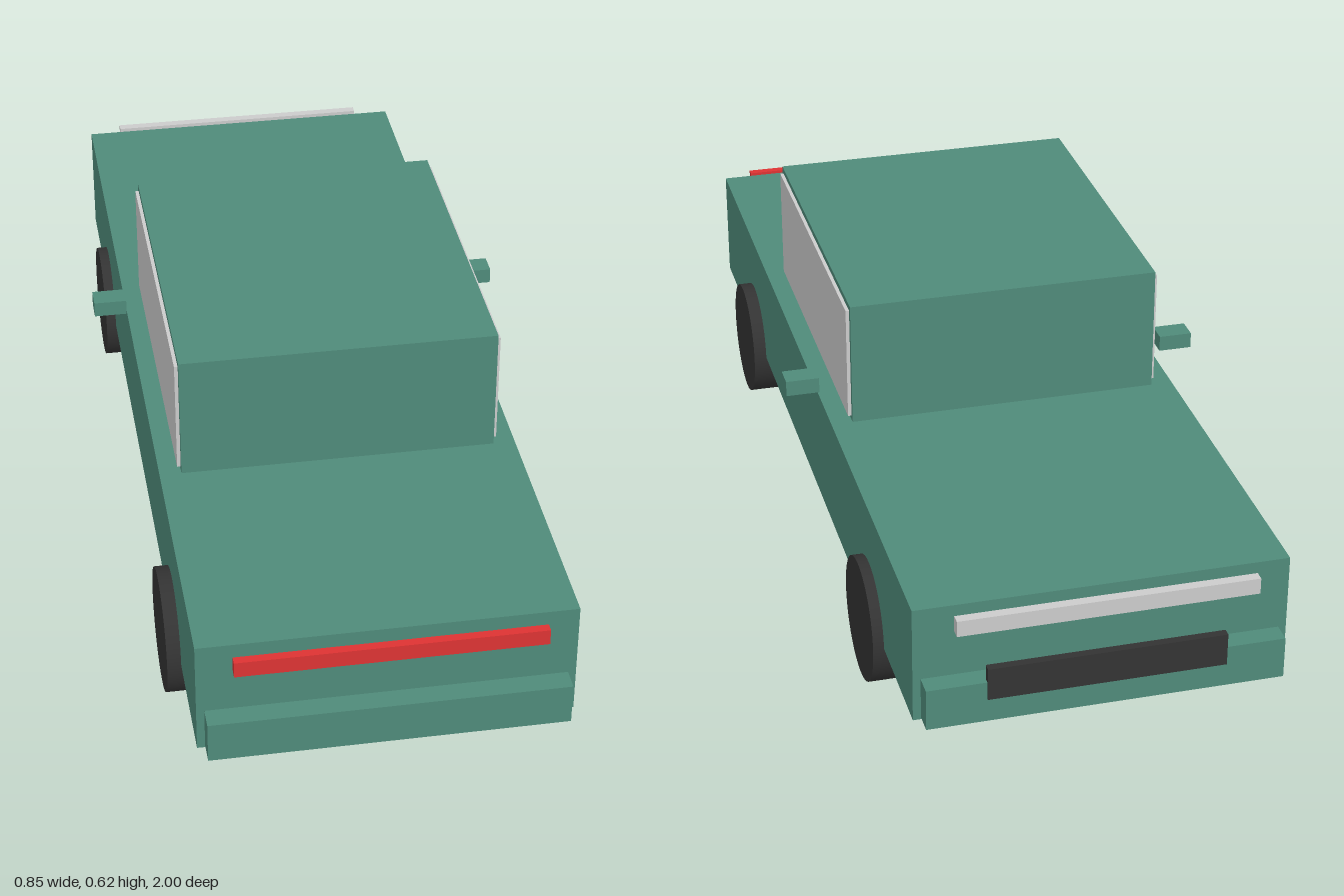
import * as THREE from 'three';

const paint = new THREE.MeshStandardMaterial({ color: 0x4f8a7a });
const rubber = new THREE.MeshStandardMaterial({ color: 0x333333 });
const red = new THREE.MeshStandardMaterial({ color: 0xdd3333 });
const grey = new THREE.MeshStandardMaterial({ color: 0xcccccc });

// Box given by its extents along each axis
function box(name, material, [x0, x1], [y0, y1], [z0, z1]) {
  const mesh = new THREE.Mesh(new THREE.BoxGeometry(x1 - x0, y1 - y0, z1 - z0), material);
  mesh.position.set((x0 + x1) / 2, (y0 + y1) / 2, (z0 + z1) / 2);
  mesh.name = name;
  return mesh;
}

function wheel(name, x, z, width) {
  const radius = 0.122;
  const geometry = new THREE.CylinderGeometry(radius, radius, width, 40).rotateZ(Math.PI / 2);
  const mesh = new THREE.Mesh(geometry, rubber);
  mesh.position.set(x, radius, z);
  mesh.name = name;
  return mesh;
}

export function createModel() {
  const car = new THREE.Group();
  car.name = 'car';

  // Body and cabin
  car.add(
    box('body', paint, [-0.353, 0.353], [0.128, 0.362], [-0.956, 0.956]),
    box('cabin', paint, [-0.31, 0.31], [0.362, 0.616], [-0.267, 0.426]),
  );

  // Bumpers, light bars and grille at the two ends
  car.add(
    box('bumperRedEnd', paint, [-0.338, 0.338], [0.132, 0.215], [0.95, 0.998]),
    box('bumperWhiteEnd', paint, [-0.338, 0.338], [0.132, 0.215], [-0.996, -0.95]),
    box('redLightBar', red, [-0.288, 0.288], [0.324, 0.356], [0.983, 1]),
    box('whiteLightBar', grey, [-0.282, 0.282], [0.324, 0.356], [-1, -0.981]),
    box('grille', rubber, [-0.225, 0.225], [0.18, 0.245], [-1, -0.984]),
  );

  // Side windows, mirrors and wheels
  for (const [side, s] of [['left', 1], ['right', -1]]) {
    const span = (a, b) => (s > 0 ? [a, b] : [-b, -a]);
    car.add(
      box(side + 'Window', grey, span(0.305, 0.317), [0.371, 0.604], [-0.257, 0.416]),
      box(side + 'Mirror', paint, span(0.357, 0.424), [0.385, 0.417], [-0.172, -0.126]),
      wheel(side + 'WheelRedEnd', s * 0.327, 0.6, 0.106),
      wheel(side + 'WheelWhiteEnd', s * 0.327, -0.6, 0.094),
    );
  }
  return car;
}
